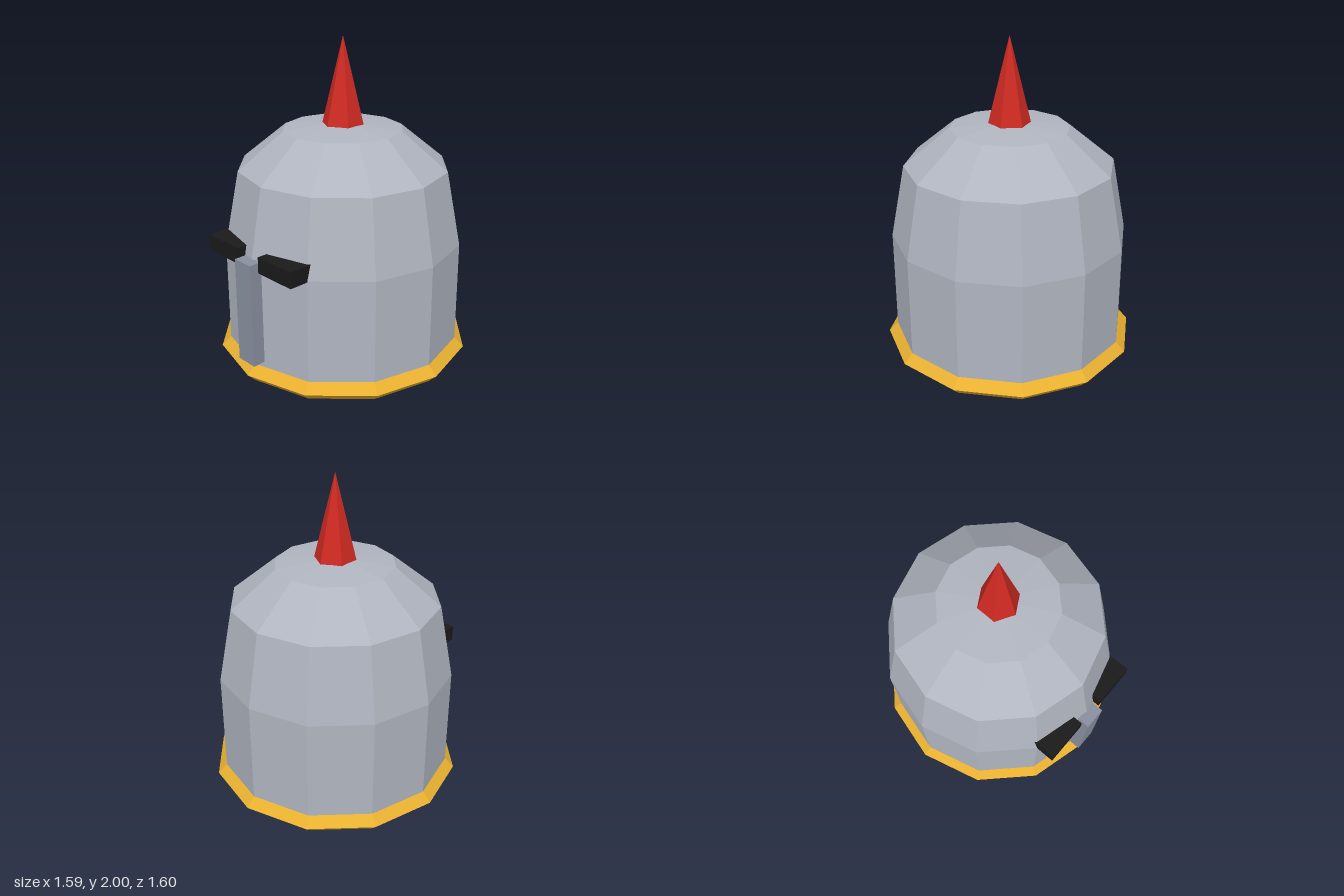
import * as THREE from 'three';

const SIDES = 12;

export function createModel() {
  const helmet = new THREE.Group();
  helmet.name = 'helmet';

  const add = (name, geometry, color, x = 0, y = 0, z = 0) => {
    const material = new THREE.MeshStandardMaterial({ color, flatShading: true });
    const mesh = new THREE.Mesh(geometry, material);
    mesh.name = name;
    mesh.position.set(x, y, z);
    helmet.add(mesh);
    return mesh;
  };

  // Faceted shell, closed underneath
  const profile = [
    [0, 0.004], [0.74, 0.004], [0.74, 0.755], [0.65, 1.215], [0.37, 1.445], [0, 1.485],
  ].map(([r, y]) => new THREE.Vector2(r, y));
  add('shell', new THREE.LatheGeometry(profile, SIDES), 0xb0b5c0);

  // Diamond-section rim around the base
  const rim = add('rim', new THREE.TorusGeometry(0.74, 0.057, 4, SIDES), 0xe8b030, 0, 0.057, 0);
  rim.rotation.x = Math.PI / 2;

  // Six-sided spike on the crown
  add('spike', new THREE.ConeGeometry(0.13, 0.53, 6), 0xd02a22, 0, 1.735, 0);

  // Nose guard
  add('noseGuard', new THREE.BoxGeometry(0.14, 0.65, 0.08), 0x8a90a0, 0, 0.475, 0.76);

  // Eye slits, sunk into the shell
  for (const [side, name] of [[1, 'leftEyeSlit'], [-1, 'rightEyeSlit']]) {
    add(name, new THREE.BoxGeometry(0.28, 0.1, 0.16), 0x1a1a1a, side * 0.232, 0.8, 0.68);
  }

  return helmet;
}
